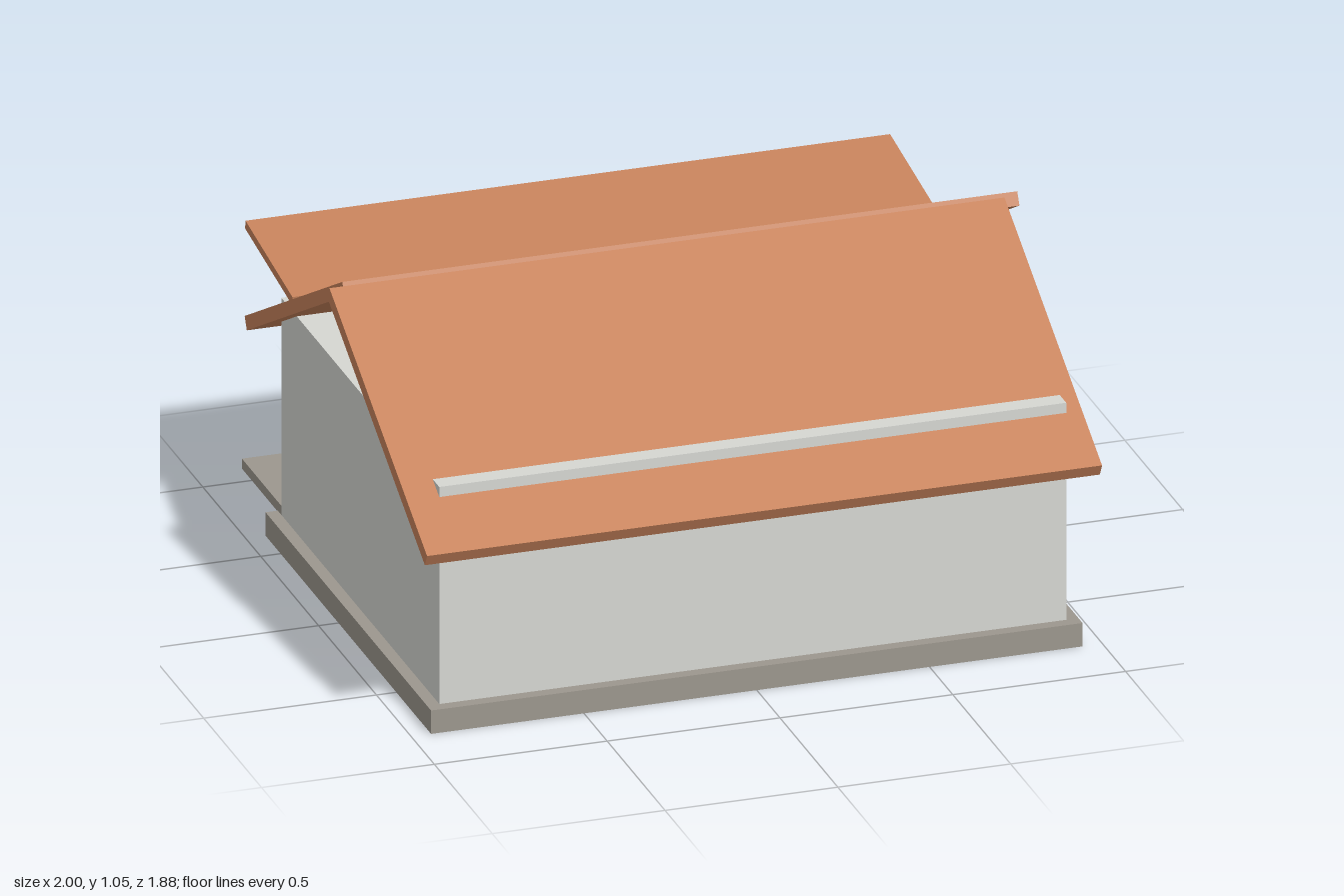
import * as THREE from 'three';

const paint = (color) => new THREE.MeshStandardMaterial({ color, flatShading: true });

export function createModel() {
  const house = new THREE.Group();
  house.name = 'house';
  const stone = paint(0x9c978e);
  const plaster = paint(0xd6d7d2);
  const tile = paint(0xc6825b);
  const wood = paint(0x5e4131);

  // Box given by its size and centre, optionally pitched about x
  function box(name, material, size, centre, pitch = 0) {
    const mesh = new THREE.Mesh(new THREE.BoxGeometry(...size), material);
    mesh.name = name;
    mesh.position.set(...centre);
    mesh.rotation.x = pitch;
    house.add(mesh);
  }

  // Foundation, walls and rear porch floor
  box('foundation', stone, [1.885, 0.07, 1.43], [0, 0.035, 0.085]);
  box('walls', plaster, [1.814, 0.65, 1.365], [0, 0.395, 0.0825]);
  box('porchFloor', stone, [1.814, 0.03, 0.34], [0, 0.082, -0.77]);

  // Two roof slopes, shifted sideways against each other
  const pitch = THREE.MathUtils.degToRad(28.2);
  const slope = [1.953, 0.04, 0.957];
  box('frontRoof', tile, slope, [-0.0235, 0.806, 0.506], pitch);
  box('backRoof', tile, slope, [0.0235, 0.806, -0.348], -pitch);

  // Porch awning tilting up and away from the back slope
  box('porchAwning', tile, [1.865, 0.025, 0.41], [0, 0.815, -0.632], THREE.MathUtils.degToRad(8.5));

  // Porch posts, passing through the floor and the roof edge
  const postGeometry = new THREE.CylinderGeometry(0.024, 0.024, 0.59, 8);
  for (let i = 0; i < 4; i++) {
    const post = new THREE.Mesh(postGeometry, wood);
    post.name = `porchPost${i + 1}`;
    post.position.set(-0.726 + i * 0.484, 0.345, -0.711);
    house.add(post);
  }

  return house;
}
